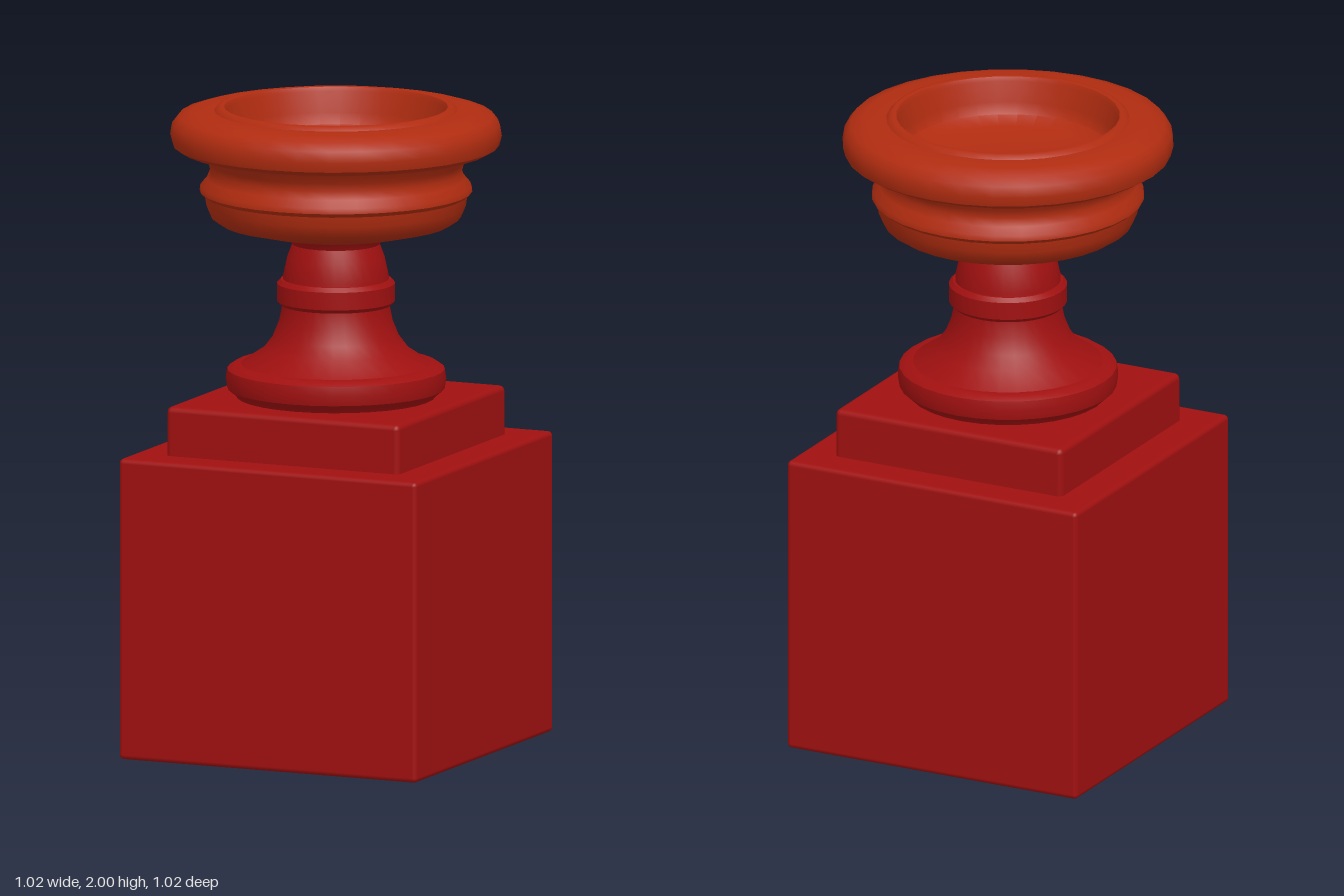
import * as THREE from 'three';
import { toCreasedNormals } from 'three/addons/utils/BufferGeometryUtils.js';
import { RoundedBoxGeometry } from 'three/addons/geometries/RoundedBoxGeometry.js';

const red = new THREE.MeshStandardMaterial({ color: 0xa01010 });
const orange = new THREE.MeshStandardMaterial({ color: 0xb02c10 });

function turned(name, profile, material) {
  const points = profile.map(([r, y]) => new THREE.Vector2(r, y));
  const geometry = toCreasedNormals(new THREE.LatheGeometry(points, 32), 0.7);
  const mesh = new THREE.Mesh(geometry, material);
  mesh.name = name;
  return mesh;
}

function block(name, width, bottom, top, radius) {
  const mesh = new THREE.Mesh(new RoundedBoxGeometry(width, top - bottom, width, 2, radius), red);
  mesh.position.y = (bottom + top) / 2;
  mesh.name = name;
  return mesh;
}

export function createModel() {
  const group = new THREE.Group();
  group.name = 'pedestalUrn';

  // Square pedestal and the smaller plinth on it
  group.add(block('pedestal', 1.01, 0, 0.94, 0.015));
  group.add(block('plinth', 0.79, 0.92, 1.093, 0.018));

  // Rounded foot, flared stem with collar
  group.add(turned('foot', [
    [0, 1.08], [0.3, 1.08], [0.31, 1.1], [0.335, 1.12], [0.34, 1.15],
    [0.335, 1.18], [0.315, 1.193], [0.29, 1.195], [0, 1.195],
  ], red));
  group.add(turned('stem', [
    [0.3, 1.19], [0.225, 1.24], [0.195, 1.28], [0.175, 1.33], [0.163, 1.39],
    [0.163, 1.47], [0.15, 1.53], [0.135, 1.57], [0.145, 1.59], [0.165, 1.61],
  ], red));
  group.add(turned('collar', [
    [0.14, 1.38], [0.17, 1.38], [0.182, 1.392], [0.182, 1.447], [0.17, 1.46], [0.14, 1.46],
  ], red));

  // Bowl with ridge, neck, rolled rim, lip and hollow
  group.add(turned('bowl', [
    [0, 1.59], [0.145, 1.59], [0.25, 1.61], [0.355, 1.635], [0.385, 1.655],
    [0.4, 1.69], [0.405, 1.722], [0.42, 1.735], [0.418, 1.752], [0.398, 1.775],
    [0.388, 1.8], [0.395, 1.825], [0.425, 1.862],
    [0.48, 1.866], [0.503, 1.88], [0.511, 1.91], [0.505, 1.945], [0.485, 1.97],
    [0.44, 1.984], [0.375, 1.986], [0.365, 1.997], [0.355, 2], [0.345, 1.998],
    [0.338, 1.985], [0.33, 1.92], [0.315, 1.885], [0.27, 1.862], [0.15, 1.85], [0, 1.847],
  ], orange));

  return group;
}
